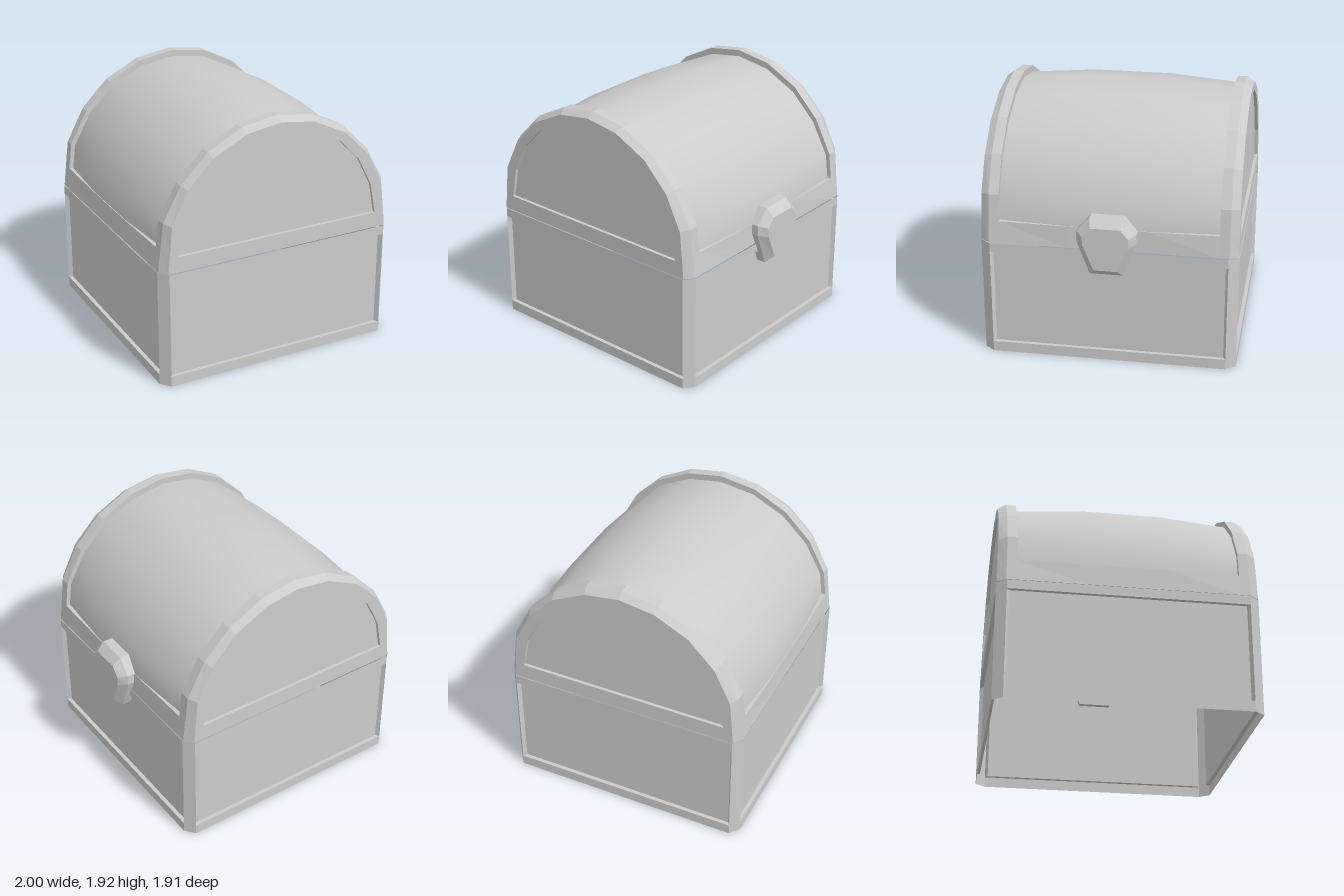
import * as THREE from 'three';

const flat = new THREE.MeshStandardMaterial({ color: 0xcccccc, flatShading: true, side: THREE.DoubleSide });
const smooth = new THREE.MeshStandardMaterial({ color: 0xcccccc, side: THREE.DoubleSide });

// Skins a series of cross-sections (each an array of [x, y, z]).
function loft(name, rings, { closed = false, soft = false } = {}) {
  const n = rings[0].length, index = [];
  for (let i = 0; i < rings.length - 1; i++) {
    for (let j = 0; j < (closed ? n : n - 1); j++) {
      const k = (j + 1) % n;
      const a = i * n + j, b = i * n + k, c = b + n, d = a + n;
      index.push(a, b, c, a, c, d);
    }
  }
  let geo = new THREE.BufferGeometry();
  geo.setAttribute('position', new THREE.Float32BufferAttribute(rings.flat(2), 3));
  geo.setIndex(index);
  if (!soft) geo = geo.toNonIndexed();
  geo.computeVertexNormals();
  const mesh = new THREE.Mesh(geo, soft ? smooth : flat);
  mesh.name = name;
  return mesh;
}

// Right half of a profile, base to crown, completed with its mirror image.
const mirrored = (half) => [...half, ...half.slice(0, -1).reverse().map(([x, y]) => [-x, y])];
const atZ = (profile, z) => profile.map(([x, y]) => [x, y, typeof z === 'function' ? z(y) : z]);
const point = (n, p) => Array.from({ length: n }, () => p);

// Recessed wall panel with a rail below and above.
function wall(name, w, d, angle) {
  const rect = (hw, y0, y1, z) => [[-hw, y0, z], [hw, y0, z], [hw, y1, z], [-hw, y1, z]];
  const mesh = loft(name, [
    rect(w, 0, 0.9, d),
    rect(w, 0.08, 0.83, d),
    rect(w - 0.02, 0.08, 0.83, d - 0.03),
    point(4, [0, 0.45, d - 0.03]),
  ], { closed: true });
  mesh.rotation.y = angle;
  return mesh;
}

function post(name, [x0, z0], [x1, z1]) {
  return loft(name, [[[x0, 0, z0], [x0, 0.9, z0]], [[x1, 0, z1], [x1, 0.9, z1]]]);
}

// Arch outlines: outside of the trim, edge of its bevel, and the sunken end panel
const outer = mirrored([[0.945, 0.905], [0.925, 1.07], [0.9, 1.27], [0.76, 1.53], [0.55, 1.74], [0.285, 1.875], [0, 1.92]]);
const bevel = mirrored([[0.895, 0.905], [0.88, 1.07], [0.86, 1.26], [0.735, 1.51], [0.535, 1.71], [0.27, 1.84], [0, 1.88]]);
const inner = mirrored([[0.815, 1.025], [0.805, 1.07], [0.77, 1.26], [0.655, 1.485], [0.485, 1.66], [0.25, 1.78], [0, 1.82]]);
const arch = outer.slice(1, -1);
const scaled = (sx, sy) => arch.map(([x, y]) => [x * sx, y > 1.08 ? 1 + (y - 1) * sy : y]);
const barrelEnd = scaled(0.965, 0.945), barrelMid = scaled(1.005, 0.99);

export function createModel() {
  const chest = new THREE.Group();
  chest.name = 'chest';
  const body = new THREE.Group();
  body.position.x = -0.05;
  chest.add(body);

  // Open box: four walls and chamfered corner posts
  const box = new THREE.Group();
  box.name = 'box';
  ['front', 'right', 'back', 'left'].forEach((side, i) => {
    box.add(i % 2 ? wall(side + 'Wall', 0.88, 0.95, -i * Math.PI / 2)
      : wall(side + 'Wall', 0.89, 0.955, i * Math.PI / 2));
  });
  for (const turn of [0, Math.PI]) {
    const posts = new THREE.Group();
    posts.name = 'cornerPosts';
    posts.add(post('cornerPost', [0.95, 0.88], [0.89, 0.955]));
    posts.add(post('cornerPost', [0.89, -0.955], [0.95, -0.88]));
    posts.rotation.y = turn;
    box.add(posts);
  }
  body.add(box);

  // Lid: bulging barrel between two arched ends
  const lid = new THREE.Group();
  lid.name = 'lid';
  const stations = [[-0.81, 0], [-0.3, 1], [0.3, 1], [0.81, 0]];
  lid.add(loft('lidBarrel', stations.map(([z, mid]) => atZ(mid ? barrelMid : barrelEnd, z)), { soft: true }));

  const face = (y) => 0.952 - 0.012 * (y - 0.905);
  const sunk = (y) => face(y) - 0.025;
  for (const turn of [0, Math.PI]) {
    const half = new THREE.Group();
    half.name = 'lidEnd';
    half.add(loft('archTrim', [
      atZ(barrelEnd, 0.81),
      atZ(arch, 0.81),
    ]));
    half.add(loft('archBevel', [
      atZ(outer, 0.81),
      atZ(outer, 0.885),
      atZ(bevel, face),
    ]));
    half.add(loft('endPanel', [
      atZ(bevel, face),
      atZ(inner, face),
      atZ(inner, sunk),
      point(inner.length, [0, 1.3, sunk(1.3)]),
    ], { closed: true }));
    // Rail along the foot of the barrel
    half.add(loft('lidRail', stations.map(([z, mid]) => [
      [0.945, 0.905, z],
      [mid ? 0.935 : 0.925, 1.07, z],
      [(mid ? barrelMid : barrelEnd)[0][0], 1.07, z],
    ])));
    half.rotation.y = turn;
    lid.add(half);
  }
  body.add(lid);

  // Latch: bevelled eight-sided plate
  const plate = (half, x) => [
    ...half.map(([z, y]) => [x, y, -z]),
    ...[...half].reverse().map(([z, y]) => [x, y, z]),
  ];
  const rim = [[0.125, 0.735], [0.22, 0.99], [0.22, 1.07], [0.12, 1.18]];
  const top = [[0.085, 0.79], [0.165, 0.98], [0.17, 1.05], [0.11, 1.12]];
  body.add(loft('latch', [
    point(8, [0.88, 0.98, 0]),
    plate(rim, 0.88),
    plate(rim, 0.99),
    plate(top, 1.05),
    point(8, [1.05, 0.98, 0]),
  ], { closed: true }));

  return chest;
}
